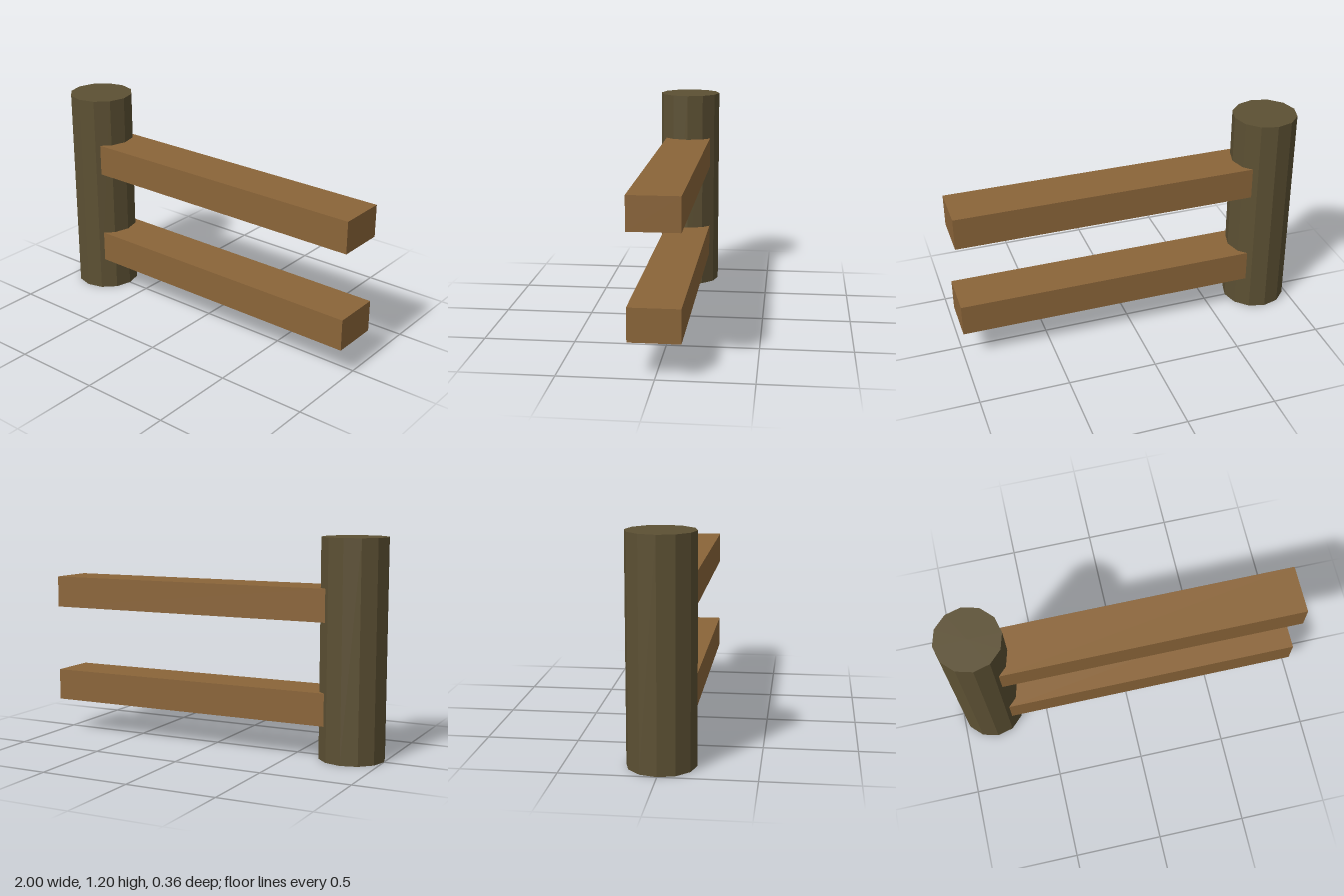
import * as THREE from 'three';

export function createModel() {
  const model = new THREE.Group();
  model.name = 'fenceSection';

  const postWood = new THREE.MeshStandardMaterial({ color: 0x5c5033, flatShading: true });
  const railWood = new THREE.MeshStandardMaterial({ color: 0x8b6539, flatShading: true });

  // Twelve-sided upright post
  const post = new THREE.Mesh(new THREE.CylinderGeometry(0.182, 0.182, 1.2, 12), postWood);
  post.name = 'post';
  post.position.set(-0.818, 0.6, 0);
  model.add(post);

  // Two horizontal rails whose inner ends sit in the post
  const railStart = -0.71, railEnd = 1;
  const railGeometry = new THREE.BoxGeometry(railEnd - railStart, 0.18, 0.272);
  for (const [name, y] of [['lowerRail', 0.28], ['upperRail', 0.84]]) {
    const rail = new THREE.Mesh(railGeometry, railWood);
    rail.name = name;
    rail.position.set((railStart + railEnd) / 2, y, 0.002);
    model.add(rail);
  }

  return model;
}
